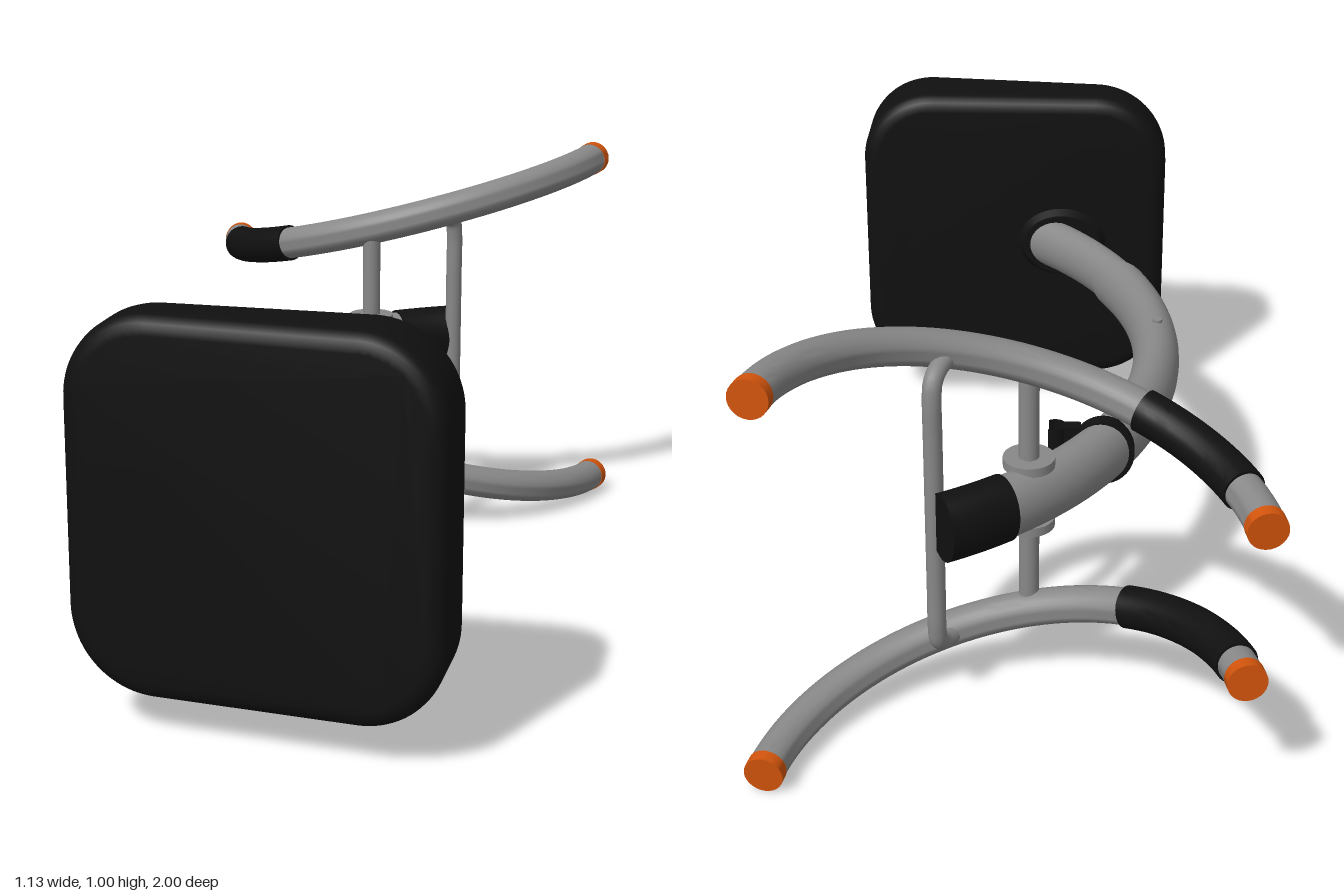
import * as THREE from 'three';
import { toCreasedNormals } from 'three/addons/utils/BufferGeometryUtils.js';
import { ParametricGeometry } from 'three/addons/geometries/ParametricGeometry.js';

const grey = new THREE.MeshStandardMaterial({ color: 0x888888 });
grey.name = 'grey metal';
const black = new THREE.MeshStandardMaterial({ color: 0x101010, side: THREE.DoubleSide });
black.name = 'black rubber';
const orange = new THREE.MeshStandardMaterial({ color: 0xd2540c });
orange.name = 'orange plastic';

const MID = 0.505; // height of the main tube

function part(parent, name, geometry, material, x = 0, y = 0, z = 0) {
  const mesh = new THREE.Mesh(geometry, material);
  mesh.name = name;
  mesh.position.set(x, y, z);
  parent.add(mesh);
  return mesh;
}

// Capped oval tube along a circular arc in the xz plane; angle 0 points to -x, growing toward +z.
// skew slants the cut at the far end.
function bentTube(R, a0, a1, halfWidth, halfHeight, skew = 0, n = 40) {
  const geometry = new ParametricGeometry((u, v, target) => {
    const k = Math.round(u * (n + 2));
    const s = k === 0 || k === n + 2 ? 0 : 1;
    const f = Math.min(Math.max((k - 1) / n, 0), 1);
    const t = v * Math.PI * 2;
    const a = a0 + (a1 - a0 - skew * s * Math.cos(t)) * f;
    const r = R + s * halfWidth * Math.cos(t);
    target.set(-r * Math.cos(a), s * halfHeight * Math.sin(t), r * Math.sin(a));
  }, n + 2, 28);
  return toCreasedNormals(geometry, 0.7);
}

// Oval disc or frustum with its axis along z
function ovalDisc(rxBack, rxFront, ratio, depth) {
  return new THREE.CylinderGeometry(rxFront, rxBack, depth, 36).rotateX(Math.PI / 2).scale(1, ratio, 1);
}

function padGeometry() {
  const x0 = -0.345, x1 = 0.48, y0 = 0.09, y1 = 0.92, r = 0.19;
  const shape = new THREE.Shape();
  shape.absarc(x1 - r, y0 + r, r, -Math.PI / 2, 0);
  shape.absarc(x1 - r, y1 - r, r, 0, Math.PI / 2);
  shape.absarc(x0 + r, y1 - r, r, Math.PI / 2, Math.PI);
  shape.absarc(x0 + r, y0 + r, r, Math.PI, Math.PI * 1.5);
  const b = 0.04;
  const geometry = new THREE.ExtrudeGeometry(shape, {
    depth: 0.2 - 2 * b, bevelThickness: b, bevelSize: b, bevelOffset: -b, bevelSegments: 5, curveSegments: 12,
  });
  geometry.translate(0, 0, b);
  // Slant the front face so the pad thickens toward +x
  const p = geometry.attributes.position;
  for (let i = 0; i < p.count; i++) {
    if (p.getZ(i) > 0.1) p.setZ(i, p.getZ(i) + 0.015 + (p.getX(i) - x1) * 0.085);
  }
  return toCreasedNormals(geometry, 0.6);
}

// Half ring with a grip on its -x side and end caps
function halfRing(name, x, y, tilt, gripStart) {
  const ring = new THREE.Group();
  ring.name = name;
  ring.position.set(x, y, -1.097);
  ring.rotation.z = tilt;
  const R = 0.537, start = 0.181, cap = 0.055, end = Math.PI - start;
  part(ring, 'ringTube', bentTube(R, start + 0.01, end - 0.01, 0.042, 0.042, 0, 60), grey);
  part(ring, 'ringGrip', bentTube(R, gripStart, 1.04, 0.048, 0.048, 0, 20), black);
  part(ring, 'ringEndCap', bentTube(R, start, start + cap, 0.0435, 0.0435, 0, 3), orange);
  part(ring, 'ringEndCap', bentTube(R, end - cap, end, 0.0435, 0.0435, 0, 3), orange);
  return ring;
}

export function createModel() {
  const model = new THREE.Group();
  model.name = 'paddedBrace';

  // Pad and its mounting flange
  part(model, 'pad', padGeometry(), black, 0, 0, 0.785);
  part(model, 'padFlange', ovalDisc(0.105, 0.125, 0.82, 0.03), black, -0.065, MID, 0.777);

  // Curved telescoping main tube
  const arm = new THREE.Group();
  arm.name = 'mainTube';
  arm.position.set(0.632, MID, 0.1);
  model.add(arm);
  part(arm, 'outerTube', bentTube(0.95, -1.03, 0.437, 0.057, 0.075, 0.06), grey);
  part(arm, 'innerTube', bentTube(0.95, 0.36, 0.87, 0.05, 0.067), grey);
  part(arm, 'tubeEndCap', bentTube(0.95, -1.04, -0.875, 0.062, 0.081, 0, 8), black);

  // Lock buttons on top of the tube
  for (const [x, z] of [[-0.25, -0.26], [-0.32, 0.15]]) {
    part(model, 'lockButton', new THREE.CylinderGeometry(0.012, 0.012, 0.03, 16), grey, x, MID + 0.066, z);
  }

  // Collar with an open clip
  part(model, 'collar', ovalDisc(0.072, 0.072, 1.12, 0.032), black, -0.192, MID, -0.367);
  part(model, 'collarLug', new THREE.BoxGeometry(0.04, 0.13, 0.032), black, -0.12, MID, -0.37);
  part(model, 'collarClip', new THREE.CylinderGeometry(0.026, 0.026, 0.13, 20, 1, true,
    Math.PI * 0.8, Math.PI * 1.4), black, -0.082, MID, -0.37);

  // Upper and lower half rings
  const tilt = Math.PI / 12;
  model.add(halfRing('upperRing', -0.013, 0.828, tilt, 0.45));
  model.add(halfRing('lowerRing', 0.01, 0.186, -tilt, 0.33));

  // Straight post through the tube, with washers
  part(model, 'post', new THREE.CylinderGeometry(0.023, 0.023, 0.635, 20), grey, -0.03, MID, -0.553);
  for (const s of [-1, 1]) {
    part(model, 'postWasher', new THREE.CylinderGeometry(0.058, 0.058, 0.022, 28), grey, -0.03, MID + s * 0.076, -0.553);
  }

  // Bent rod joining both rings behind the tube
  const half = [[0.13, 0.358, -0.58], [0.158, 0.346, -0.64], [0.168, 0.325, -0.667], [0.17, 0.285, -0.675], [0.17, 0.2, -0.675]];
  const points = [
    ...half.map(([x, y, z]) => new THREE.Vector3(x, MID + y, z)),
    ...half.slice().reverse().map(([x, y, z]) => new THREE.Vector3(x, MID - y, z)),
  ];
  part(model, 'bentRod', new THREE.TubeGeometry(new THREE.CatmullRomCurve3(points), 80, 0.021, 16), grey);

  return model;
}
